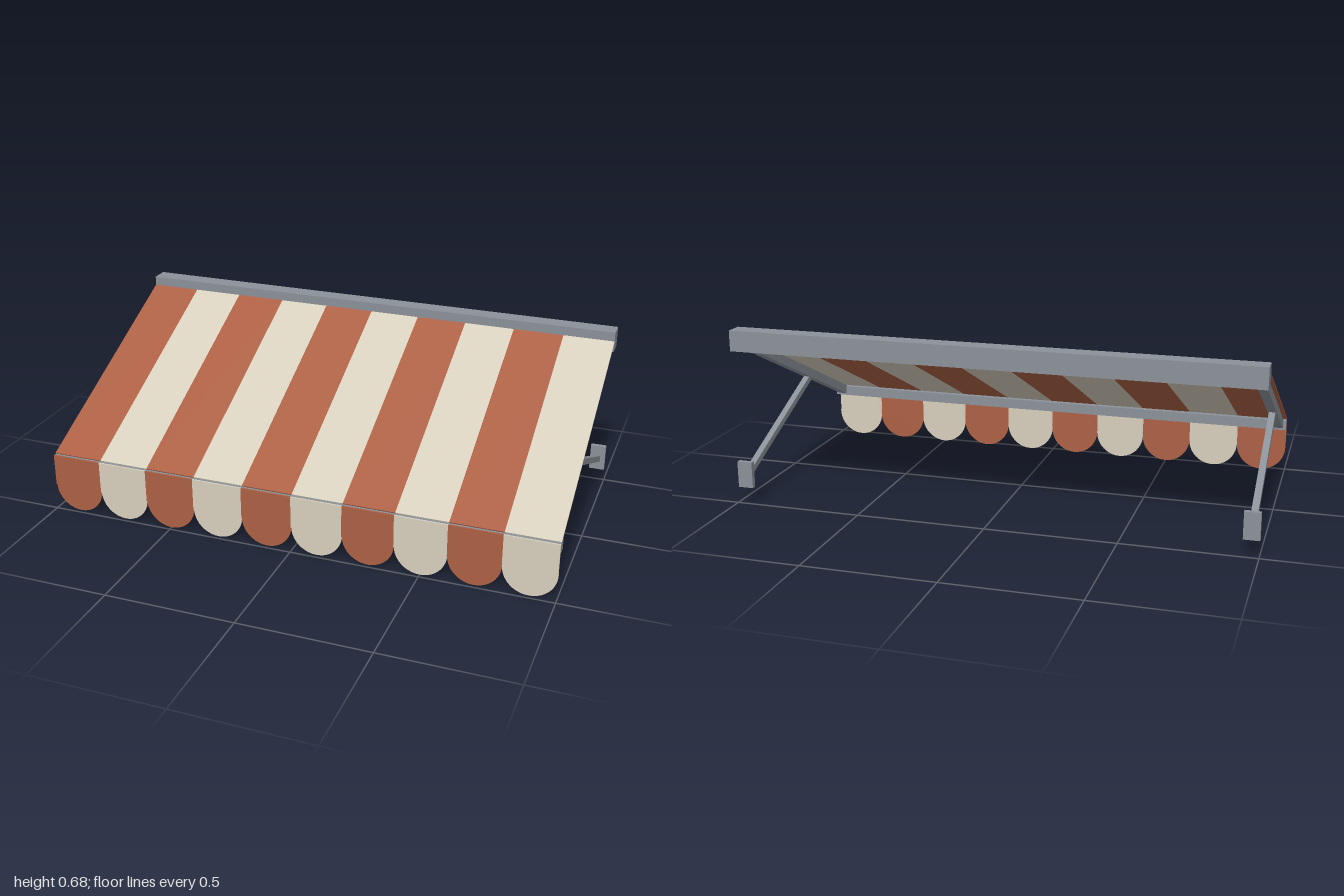
import * as THREE from 'three';

export function createModel() {
  const model = new THREE.Group();
  model.name = 'awning';

  const material = (name, color) => {
    const m = new THREE.MeshStandardMaterial({ color });
    m.name = name;
    return m;
  };
  const terracotta = material('terracotta fabric', 0xac6044);
  const cream = material('cream fabric', 0xd7cfbd);
  const metal = material('grey metal', 0x8b9199);

  const add = (name, geometry, mat, x, y, z) => {
    const mesh = new THREE.Mesh(geometry, mat);
    mesh.name = name;
    mesh.position.set(x, y, z);
    model.add(mesh);
    return mesh;
  };
  const box = (name, mat, w, h, d, x, y, z) =>
    add(name, new THREE.BoxGeometry(w, h, d), mat, x, y, z);

  // A bar in the z-y plane between two [z, y] points
  const bar = (name, mat, width, thick, x, [z0, y0], [z1, y1]) => {
    const length = Math.hypot(z1 - z0, y1 - y0);
    const mesh = box(name, mat, width, thick, length, x, (y0 + y1) / 2, (z0 + z1) / 2);
    mesh.rotation.x = -Math.atan2(y1 - y0, z1 - z0);
    return mesh;
  };

  // Wall cassette and front bar
  box('wallCassette', metal, 2, 0.08, 0.07, 0, 0.64, -0.454);
  box('frontBar', metal, 2, 0.04, 0.04, 0, 0.207, 0.461);

  // Striped canopy with a scalloped valance
  const stripes = 10;
  const w = 2 / stripes;
  for (let i = 0; i < stripes; i++) {
    const x = -1 + w * (i + 0.5);
    const mat = i % 2 ? cream : terracotta;
    bar('canopyStripe', mat, w, 0.008, x, [-0.425, 0.642], [0.473, 0.228]);
    box('valanceStripe', mat, w, 0.127, 0.007, x, 0.1635, 0.4855);
    const scallop = new THREE.CylinderGeometry(w / 2, w / 2, 0.005, 40);
    scallop.rotateX(Math.PI / 2);
    add('scallop', scallop, mat, x, 0.1, 0.4815);
  }

  // Side rails, support struts and wall plates
  for (const side of [-1, 1]) {
    bar('sideRail', metal, 0.035, 0.035, side * 0.97, [-0.43, 0.62], [0.45, 0.21]);
    bar('strut', metal, 0.025, 0.024, side * 0.97, [-0.457, 0.113], [0.1, 0.357]);
    box('wallPlate', metal, 0.06, 0.103, 0.019, side * 0.97, 0.1115, -0.4785);
  }

  return model;
}
